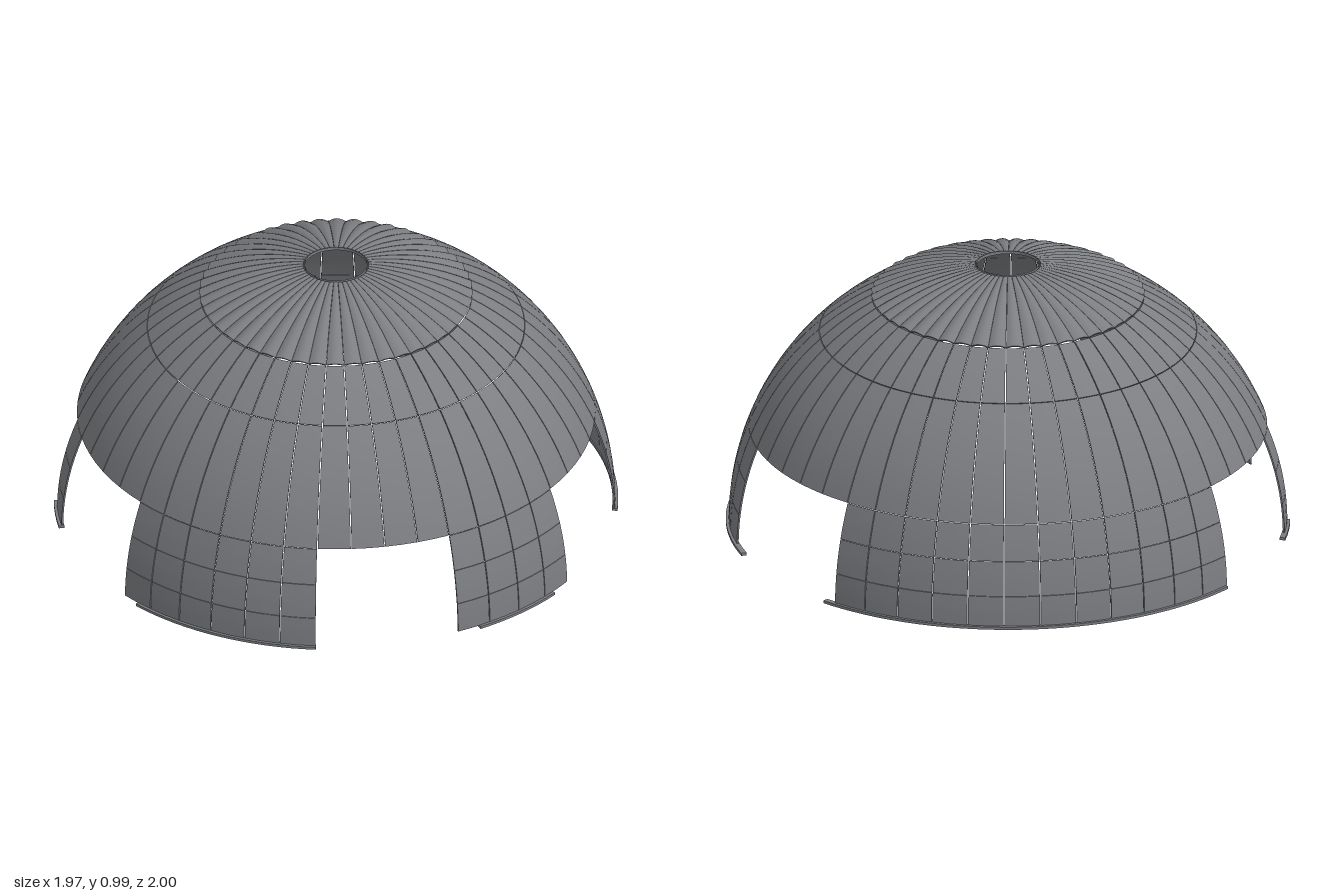
import * as THREE from 'three';
import { mergeGeometries } from 'three/addons/utils/BufferGeometryUtils.js';

const R = 0.99;          // dome radius
const STEP = 7.5;        // degrees per panel column
const THICK = 0.006;     // panel thickness
const GAP = 0.0016;      // half of the joint between panels
const rad = THREE.MathUtils.degToRad;

// Point on a sphere: longitude from +z towards +x, then elevation
function point(r, lon, el) {
  const c = r * Math.cos(el);
  return [c * Math.sin(lon), r * Math.sin(el), c * Math.cos(lon)];
}

// Grid surface from a rule f(u, v); faces the side where u runs right and v up
function patch(f, nu, nv) {
  const pos = [], index = [];
  for (let j = 0; j <= nv; j++) {
    for (let i = 0; i <= nu; i++) pos.push(...f(i / nu, j / nv));
  }
  for (let j = 0; j < nv; j++) {
    for (let i = 0; i < nu; i++) {
      const a = j * (nu + 1) + i, b = a + 1, c = a + nu + 1, d = c + 1;
      index.push(a, b, d, a, d, c);
    }
  }
  const g = new THREE.BufferGeometry();
  g.setAttribute('position', new THREE.Float32BufferAttribute(pos, 3));
  g.setIndex(index);
  g.computeVertexNormals();
  return g;
}

// Thick curved panel between two longitudes (degrees) and two heights
function panel(lon0, lon1, y0, y1, { nu = 2, nv = 4, bulge = 0, gap = GAP, gapY = GAP } = {}) {
  const e0 = Math.asin((y0 + gapY * 0.5) / R), e1 = Math.asin((y1 - gapY * 0.5) / R);
  const surface = (u, v, depth) => {
    const el = e0 + (e1 - e0) * v;
    const inset = gap / (R * Math.cos(el));
    const a = rad(lon0) + inset, b = rad(lon1) - inset;
    const width = (b - a) * R * Math.cos(el);
    const r = R - depth + bulge * width * Math.sin(Math.PI * u);
    return point(r, a + (b - a) * u, el);
  };
  return mergeGeometries([
    patch((u, v) => surface(u, v, 0), nu, nv),
    patch((u, v) => surface(1 - u, v, THICK), nu, nv),
    patch((u, v) => surface(1, v, u * THICK), 1, nv),
    patch((u, v) => surface(0, v, (1 - u) * THICK), 1, nv),
    patch((u, v) => surface(u, 1, v * THICK), nu, 1),
    patch((u, v) => surface(u, 0, (1 - v) * THICK), nu, 1),
  ]);
}

// One row of panels
function row(lon0, lon1, y0, y1, options) {
  const list = [];
  for (let lon = lon0; lon < lon1 - 0.01; lon += STEP) {
    list.push(panel(lon, lon + STEP, y0, y1, options));
  }
  return mergeGeometries(list);
}

// Flat curved strip that lies on the ground under a wall
function baseStrip(lon0, lon1) {
  const outer = 1.0, inner = 0.98, top = 0.01;
  const n = Math.max(4, Math.round((lon1 - lon0) / 2.5));
  const at = (r, y, u) => {
    const a = rad(lon0 + (lon1 - lon0) * u);
    return [r * Math.sin(a), y, r * Math.cos(a)];
  };
  const mix = (a, b, t) => a + (b - a) * t;
  return mergeGeometries([
    patch((u, v) => at(outer, top * v, u), n, 1),
    patch((u, v) => at(inner, top * v, 1 - u), n, 1),
    patch((u, v) => at(mix(outer, inner, v), top, u), n, 1),
    patch((u, v) => at(mix(inner, outer, v), 0, u), n, 1),
    patch((u, v) => at(mix(outer, inner, u), top * v, 1), 1, 1),
    patch((u, v) => at(mix(inner, outer, u), top * v, 0), 1, 1),
  ]);
}

export function createModel() {
  const model = new THREE.Group();
  model.name = 'panelledDome';

  const steel = new THREE.MeshStandardMaterial({ color: 0x7c7e82, side: THREE.DoubleSide });
  steel.name = 'steelGrey';

  const add = (name, geometry, parent = model) => {
    const mesh = new THREE.Mesh(geometry, steel);
    mesh.name = name;
    parent.add(mesh);
    return mesh;
  };

  // Fluted cap around the open top
  add('flutedCap', row(0, 360, 0.865, 0.984, { nu: 6, nv: 8, bulge: 0.16, gap: 0.0004 }));

  // Thin collar lining the opening
  const collar = add('openingCollar', new THREE.CylinderGeometry(0.111, 0.111, 0.012, 48, 1, true));
  collar.position.y = 0.982;

  // Two full rows of the upper shell
  add('upperShell', row(0, 360, 0.73, 0.865, { nv: 5 }));
  add('middleShell', row(0, 360, 0.37, 0.73, { nv: 10 }));

  // Lower walls: panel range, then base strip range, in degrees
  const walls = [
    ['frontWall', 0, 30, 5, 25],
    ['leftWall', 60, 90, 60, 95],
    ['backWall', 127.5, 217.5, 125, 217],
    ['rightBackPillar', 247.5, 255, 245, 255],
    ['rightFrontWall', 285, 330, 289, 330],
  ];
  const levels = [0.008, 0.12, 0.245, 0.37];
  for (const [name, lon0, lon1, strip0, strip1] of walls) {
    const wall = new THREE.Group();
    wall.name = name;
    for (let i = 0; i < 3; i++) {
      add('wallPanelRow', row(lon0, lon1, levels[i], levels[i + 1], { nv: 3 }), wall);
    }
    add('baseStrip', baseStrip(strip0, strip1), wall);
    model.add(wall);
  }

  // The shell axis sits slightly off the centre of the overall outline
  for (const part of model.children) part.position.x = -0.015;
  return model;
}
